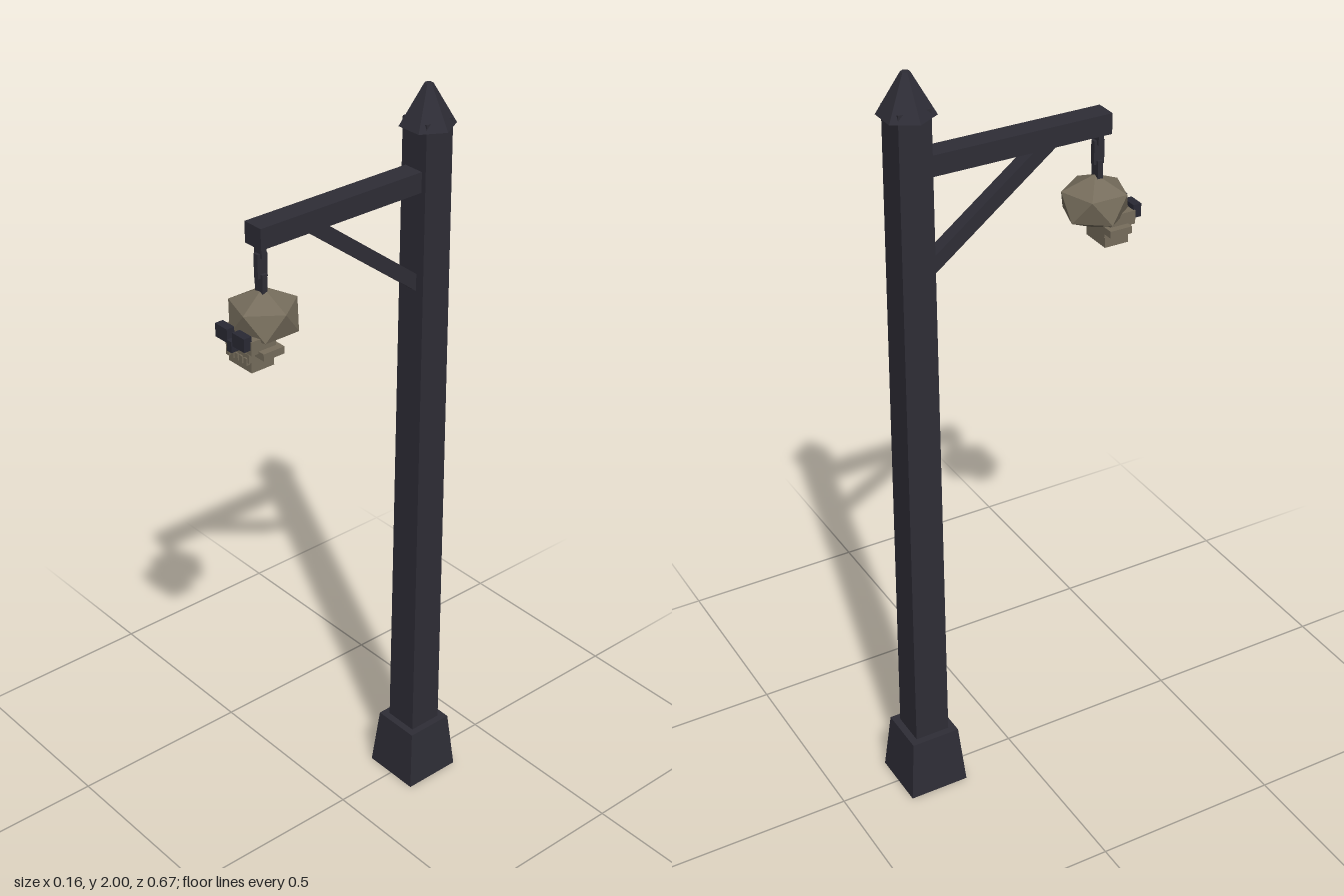
import * as THREE from 'three';

const mat = (name, color) => {
  const m = new THREE.MeshStandardMaterial({ color, flatShading: true });
  m.name = name;
  return m;
};

export function createModel() {
  const iron = mat('dark iron', 0x2e2d36);
  const bone = mat('bone', 0x766d5c);
  const shadow = mat('socket dark', 0x292934);

  const root = new THREE.Group();
  root.name = 'skullLampPost';

  const add = (parent, name, geo, material, x, y, z) => {
    const m = new THREE.Mesh(geo, material);
    m.name = name;
    m.position.set(x, y, z);
    parent.add(m);
    return m;
  };
  // box given by its centre and size
  const box = (parent, name, material, [x, y, z], [w, h, d]) =>
    add(parent, name, new THREE.BoxGeometry(w, h, d), material, x, y, z);
  // square tapered block given by half widths, standing from y0 to y1
  const taper = (name, bottom, top, y0, y1, z) =>
    add(root, name, new THREE.CylinderGeometry(top * Math.SQRT2, bottom * Math.SQRT2, y1 - y0, 4)
      .rotateY(Math.PI / 4), iron, 0, (y0 + y1) / 2, z);

  // Post
  const PZ = -0.257;
  taper('base', 0.081, 0.066, 0, 0.165, PZ);
  taper('post', 0.047, 0.041, 0.16, 1.92, PZ);
  add(root, 'cap', new THREE.CylinderGeometry(0.011, 0.069, 0.1, 6).rotateY(Math.PI / 6),
    iron, 0, 1.95, PZ);

  // Arm and diagonal brace
  box(root, 'arm', iron, [0, 1.776, 0.012], [0.057, 0.052, 0.496]);
  const from = new THREE.Vector2(-0.225, 1.507), to = new THREE.Vector2(0.105, 1.76);
  const dir = to.clone().sub(from);
  const brace = box(root, 'brace', iron,
    [0, (from.y + to.y) / 2, (from.x + to.x) / 2], [0.036, 0.036, dir.length()]);
  brace.rotation.x = -Math.atan2(dir.y, dir.x);

  // Chain of alternating links
  const HZ = 0.24;
  const chain = new THREE.Group();
  chain.name = 'chain';
  root.add(chain);
  [[1.74, 0.04, false], [1.7, 0.06, true], [1.65, 0.06, false]].forEach(([y, h, turned]) =>
    box(chain, 'link', iron, [0, y, HZ], turned ? [0.014, h, 0.028] : [0.028, h, 0.014]));

  // Skull
  const skull = new THREE.Group();
  skull.name = 'skull';
  root.add(skull);
  const cranium = new THREE.IcosahedronGeometry(1, 0)
    .rotateX(-Math.atan((1 + Math.sqrt(5)) / 2)) // one corner straight up
    .rotateY(Math.PI / 2)
    .scale(0.092, 0.07, 0.092);
  add(skull, 'cranium', cranium, bone, 0, 1.573, 0.235);
  box(skull, 'face', bone, [0, 1.535, 0.28], [0.112, 0.035, 0.07]);
  box(skull, 'cheekbones', bone, [0, 1.514, 0.265], [0.148, 0.018, 0.06]);
  box(skull, 'upperJaw', bone, [0, 1.503, 0.275], [0.085, 0.022, 0.075]);
  box(skull, 'lowerJaw', bone, [0, 1.479, 0.273], [0.084, 0.028, 0.065]);
  for (const s of [-1, 1])
    box(skull, 'eyeSocket', shadow, [s * 0.031, 1.548, 0.322], [0.043, 0.034, 0.022]);
  box(skull, 'nose', shadow, [0, 1.527, 0.324], [0.016, 0.028, 0.022]);

  // Teeth
  for (let i = -2; i <= 2; i++)
    box(skull, 'tooth', bone, [i * 0.016, 1.495, 0.311], [0.011, 0.018, 0.01]);

  return root;
}
